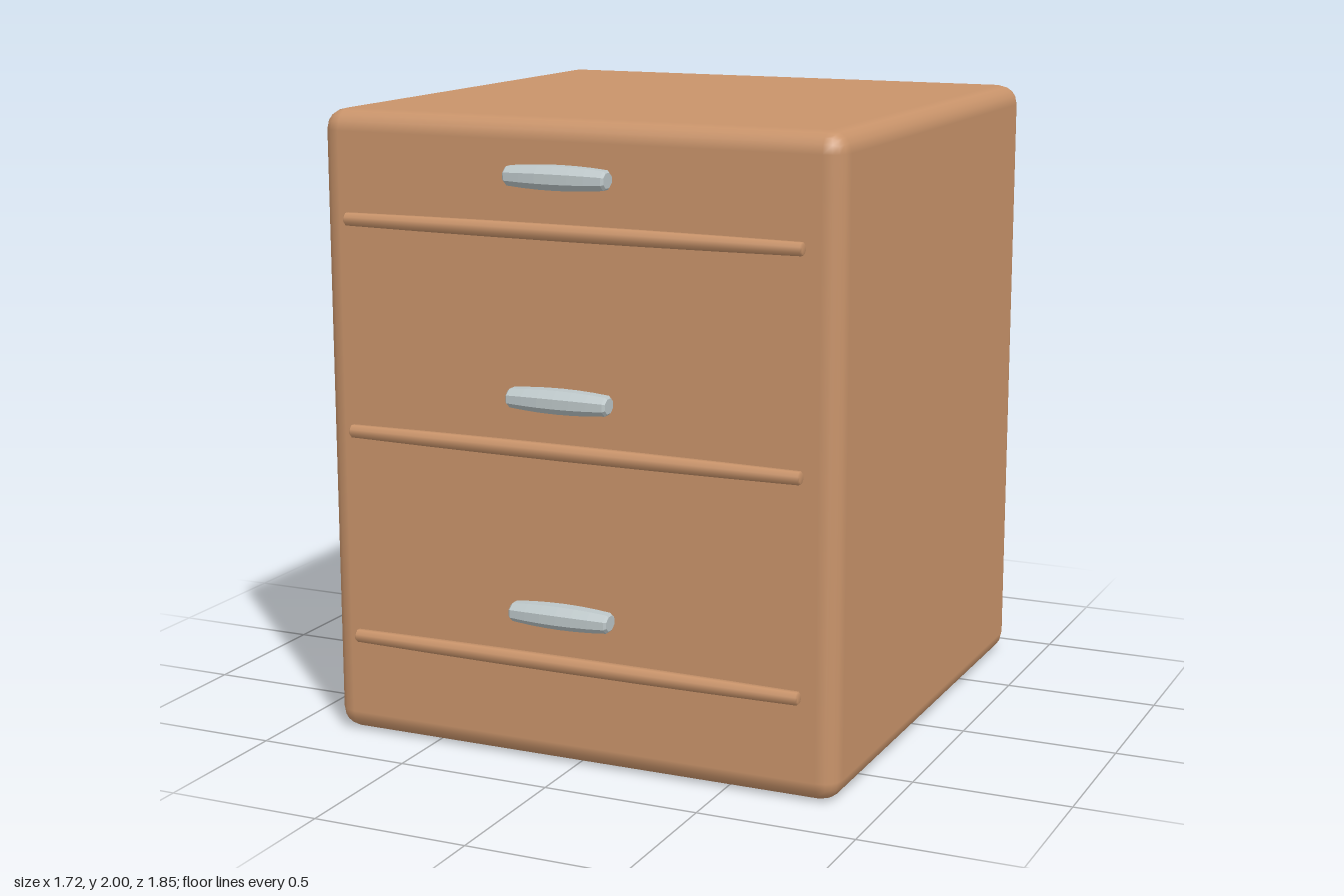
import * as THREE from 'three';
import { RoundedBoxGeometry } from 'three/addons/geometries/RoundedBoxGeometry.js';

// Bar lying along x, slightly thicker in the middle, with bevelled ends
function bowedBar(halfLength, endRadius, midRadius, bevel, depthScale) {
  const profile = [new THREE.Vector2(0, -halfLength), new THREE.Vector2(endRadius - bevel, -halfLength)];
  const steps = 6;
  for (let i = 0; i <= steps; i++) {
    const t = (i / steps) * 2 - 1;
    profile.push(new THREE.Vector2(
      midRadius + (endRadius - midRadius) * t * t,
      t * (halfLength - bevel)
    ));
  }
  profile.push(new THREE.Vector2(endRadius - bevel, halfLength), new THREE.Vector2(0, halfLength));
  const geometry = new THREE.LatheGeometry(profile, 8, Math.PI / 8);
  geometry.rotateZ(Math.PI / 2);
  geometry.scale(1, 1, depthScale);
  return geometry;
}

export function createModel() {
  const model = new THREE.Group();
  model.name = 'drawerCabinet';

  const wood = new THREE.MeshStandardMaterial({ color: 0xc8936a });
  wood.name = 'wood';
  const metal = new THREE.MeshStandardMaterial({ color: 0xbcc6c8 });
  metal.name = 'metal';

  const add = (name, geometry, material, x, y, z) => {
    const mesh = new THREE.Mesh(geometry, material);
    mesh.name = name;
    mesh.position.set(x, y, z);
    model.add(mesh);
  };

  // Cabinet body with softened edges
  add('cabinetBody', new RoundedBoxGeometry(1.72, 2, 1.725, 2, 0.065), wood, 0, 1, -0.065);

  // Thin rails and faceted handles, one pair per drawer
  const railGeometry = bowedBar(0.755, 0.021, 0.026, 0.005, 1);
  const handleGeometry = bowedBar(0.165, 0.031, 0.039, 0.007, 1.28).toNonIndexed();
  handleGeometry.computeVertexNormals();

  ['lower', 'middle', 'upper'].forEach((level, i) => {
    const y = 0.335 + i * 0.667;
    add(level + 'DrawerRail', railGeometry, wood, 0, y, 0.829);
    add(level + 'DrawerHandle', handleGeometry, metal, 0, y + 0.17, 0.881);
  });

  return model;
}
